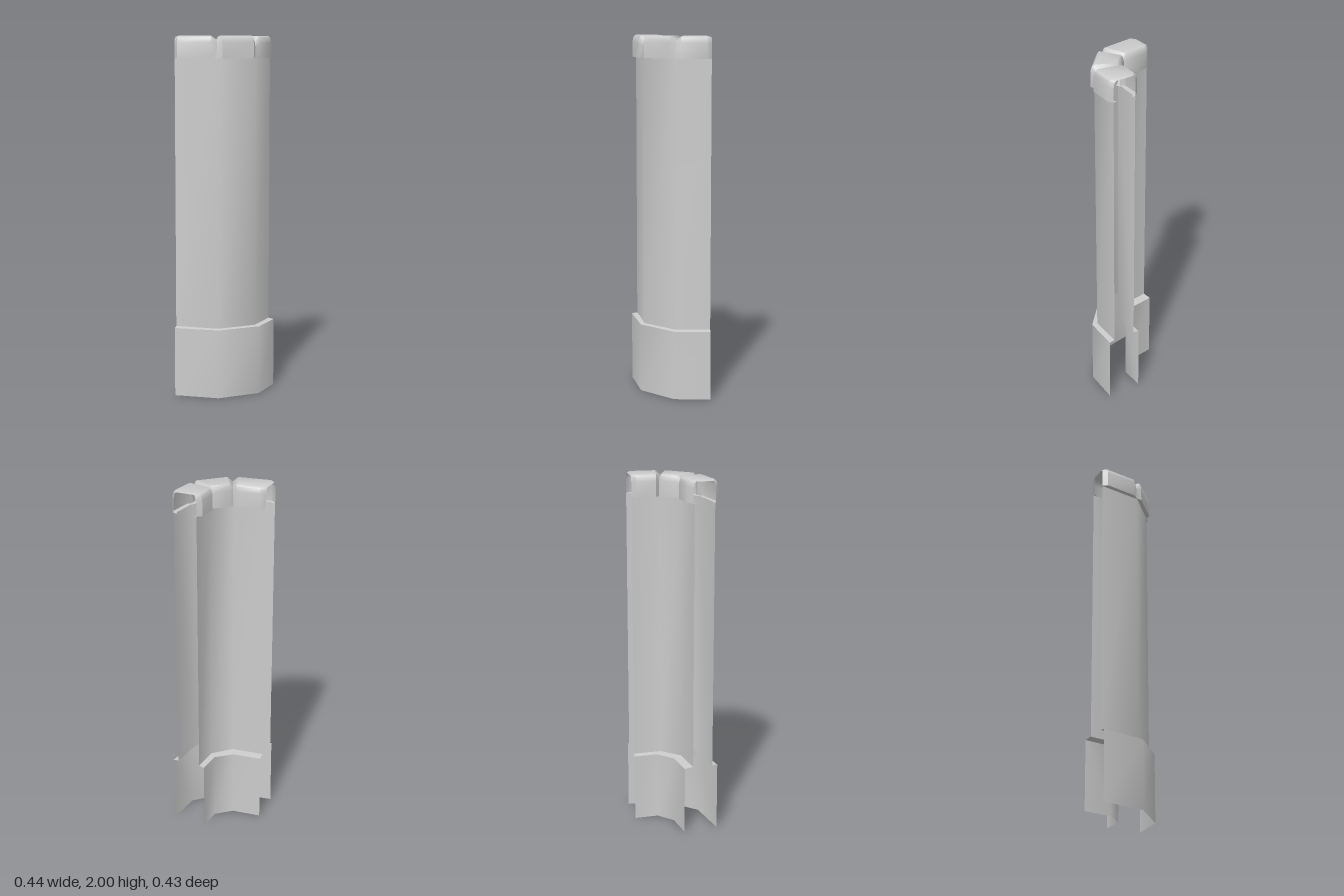
import * as THREE from 'three';
import { toCreasedNormals } from 'three/addons/utils/BufferGeometryUtils.js';

const material = new THREE.MeshStandardMaterial({ color: 0xcccccc, side: THREE.DoubleSide });

// Plan outlines as [x, z], running from the -x end to the -z end.
const baseOuter = [[-0.207, 0.213], [0.04, 0.17], [0.208, -0.01], [0.22, -0.21]];
const baseInner = [[-0.222, 0.02], [-0.062, -0.002], [0.022, -0.08], [0.022, -0.213]];
const wallOuter = [[-0.213, 0.182], [0.028, 0.147], [0.178, -0.018], [0.188, -0.21]];
const wallInner = [[-0.215, 0.07], [-0.035, 0.045], [0.055, -0.053], [0.055, -0.209]];

// Coping plan: each stone pulls in at its ends, leaving notches at the joints.
const capOuter = [
  [-0.213, 0.185], [-0.188, 0.204], [0.0, 0.176], [0.024, 0.152], [0.055, 0.15],
  [0.182, 0.012], [0.179, -0.018], [0.199, -0.045], [0.206, -0.188], [0.188, -0.21],
];
const capInner = [
  [-0.215, 0.062], [-0.188, 0.036], [-0.06, 0.024], [-0.038, 0.032], [-0.03, 0.014],
  [0.032, -0.052], [0.046, -0.06], [0.026, -0.08], [0.03, -0.188], [0.053, -0.209],
];
const capDip = [0.006, 0, 0, 0.022, 0, 0, 0.022, 0, 0, 0.006];

// Skin a grid of rows; every row is a list of [x, y, z] points.
function skin(name, rows, crease) {
  const n = rows[0].length;
  const index = [];
  for (let j = 0; j < rows.length - 1; j++) {
    for (let i = 0; i < n - 1; i++) {
      const a = j * n + i;
      index.push(a, a + 1, a + n + 1, a, a + n + 1, a + n);
    }
  }
  let geo = new THREE.BufferGeometry();
  geo.setAttribute('position', new THREE.Float32BufferAttribute(rows.flat(2), 3));
  geo.setIndex(index);
  geo.computeVertexNormals();
  if (crease) geo = toCreasedNormals(geo, crease);
  const mesh = new THREE.Mesh(geo, material);
  mesh.name = name;
  return mesh;
}

const atHeight = (path, y) => path.map(([x, z]) => [x, y, z]);

// One face of the wall: skirt, ledge and tall panel, open at both ends.
function wallSide(name, base, wall, flip) {
  const side = new THREE.Group();
  side.name = name;
  const dir = (path) => (flip ? [...path].reverse() : path);
  const b = dir(base), w = dir(wall);
  side.add(
    skin('baseSkirt', [atHeight(b, 0), atHeight(b, 0.388)]),
    skin('baseLedge', [atHeight(b, 0.388), atHeight(w, 0.392)]),
    skin('wallPanel', [atHeight(w, 0.392), atHeight(w, 1.88)])
  );
  return side;
}

// Three coping stones as one hollow shell with grooves between them.
function coping() {
  // [distance in from the edge as a fraction of the width, height]
  const half = [[0.15, 1.88], [0, 1.88], [0.01, 1.965], [0.05, 1.99], [0.12, 2.0]];
  const profile = [...half, ...half.map(([t, y]) => [1 - t, y]).reverse()];
  const rows = profile.map(([t, y]) => capOuter.map(([x, z], i) => {
    const [u, v] = capInner[i];
    return [x + (u - x) * t, y > 1.9 ? y - capDip[i] : y, z + (v - z) * t];
  }));
  return skin('copingStones', rows, 0.75);
}

export function createModel() {
  const model = new THREE.Group();
  model.name = 'curvedWallSection';
  model.add(
    wallSide('outerFace', baseOuter, wallOuter, false),
    wallSide('innerFace', baseInner, wallInner, true),
    coping()
  );
  return model;
}
